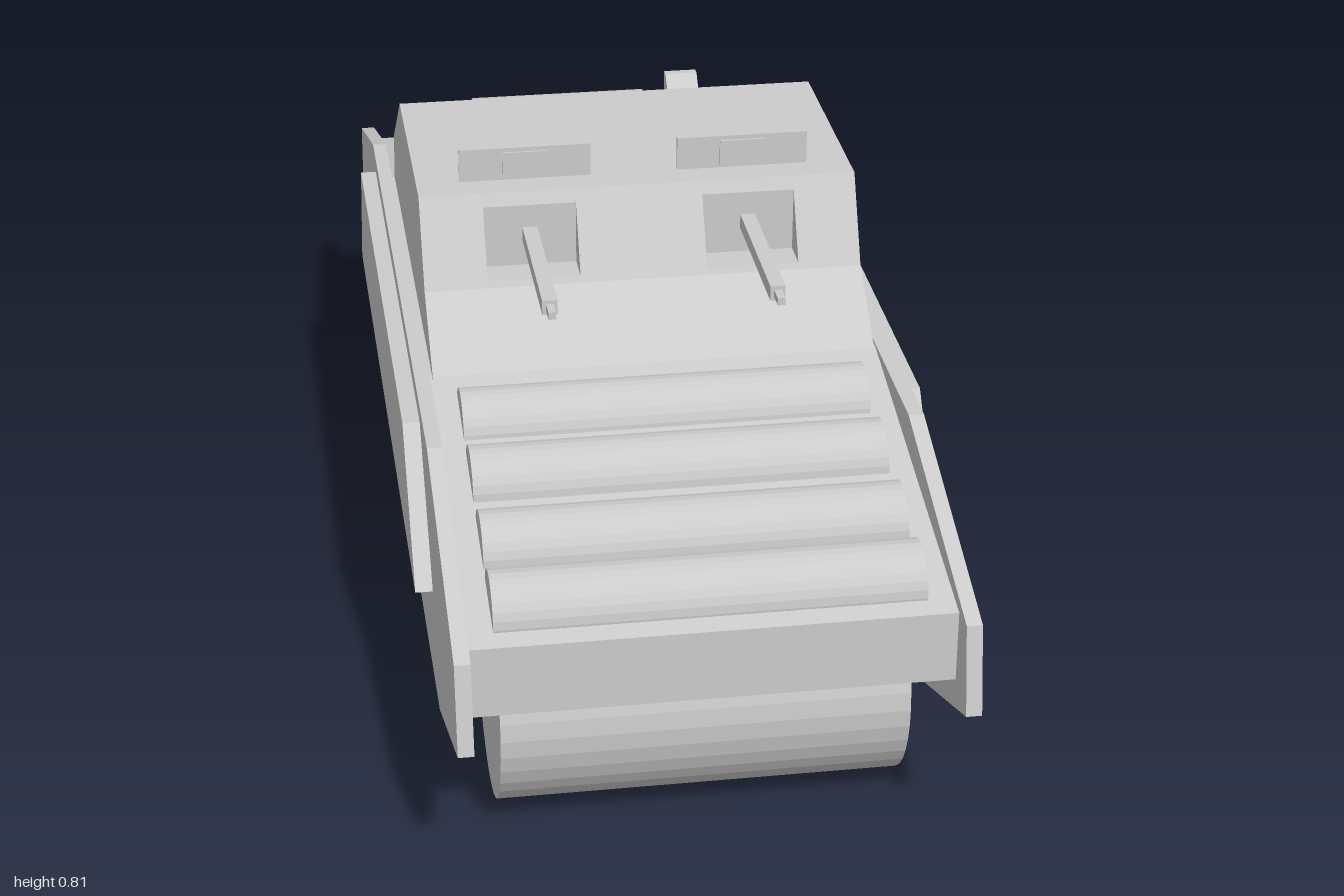
import * as THREE from 'three';
import { mergeGeometries } from 'three/addons/utils/BufferGeometryUtils.js';

const grey = new THREE.MeshStandardMaterial({ color: 0xcccccc, flatShading: true });

// Extrudes a [z, y] outline across the vehicle from x0 to x1
function slab(points, x0, x1) {
  const shape = new THREE.Shape(points.map(([z, y]) => new THREE.Vector2(z, y)));
  const geo = new THREE.ExtrudeGeometry(shape, { depth: x1 - x0, bevelEnabled: false });
  return geo.rotateY(-Math.PI / 2).translate(x1, 0, 0);
}

// Box given by its centre and size
const box = (x, y, z, w, h, d) => new THREE.BoxGeometry(w, h, d).translate(x, y, z);

// Cylinder lying across the vehicle
const crossCylinder = (r, length, x, y, z, sides) =>
  new THREE.CylinderGeometry(r, r, length, sides).rotateZ(Math.PI / 2).translate(x, y, z);

export function createModel() {
  const model = new THREE.Group();
  const add = (name, geo) => {
    const mesh = new THREE.Mesh(geo, grey);
    mesh.name = name;
    model.add(mesh);
    return mesh;
  };

  // Hull between the side plates
  add('hull', slab([
    [0.93, 0.28], [0.93, 0.395], [0.33, 0.525], [-0.45, 0.525],
    [-0.92, 0.40], [-0.92, 0.28], [-0.83, 0.22], [0.83, 0.22],
  ], -0.36, 0.36));

  // Casemate, cut in strips so that two strips carry a gun recess
  const rear = [[-0.24, 0.755], [-0.43, 0.615], [-0.455, 0.5], [0.36, 0.5], [0.34, 0.53], [0.22, 0.62]];
  const plain = [[0.15, 0.755], ...rear];
  const notched = [[0.15, 0.755], ...rear, [0.215, 0.63], [0.16, 0.63], [0.16, 0.735]];
  const cuts = [-0.355, -0.253, -0.103, 0.103, 0.253, 0.355];
  const strips = [];
  for (let i = 0; i < 5; i++) strips.push(slab(i % 2 ? notched : plain, cuts[i], cuts[i + 1]));
  add('casemate', mergeGeometries(strips));

  // Side plates, side armour, hatches, guns and rear wheels in mirrored pairs
  const plate = [
    [1.0, 0.26], [0.975, 0.40], [0.57, 0.53], [-0.59, 0.53],
    [-0.975, 0.40], [-1.0, 0.26], [-0.69, 0.125], [0.67, 0.125],
  ];
  const armour = [[0.43, 0.50], [-0.535, 0.50], [-0.615, 0.295], [0.60, 0.295]];
  const wheelProfile = [
    [0, -0.05], [0.14, -0.05], [0.16, -0.07], [0.185, -0.07],
    [0.185, 0.07], [0.16, 0.07], [0.14, 0.05], [0, 0.05],
  ].map(([r, h]) => new THREE.Vector2(r, h));

  for (const [side, s] of [['left', 1], ['right', -1]]) {
    const span = (pts, a, b) => slab(pts, Math.min(s * a, s * b), Math.max(s * a, s * b));
    add(side + 'SidePlate', span(plate, 0.36, 0.384));
    add(side + 'SideArmour', span(armour, 0.384, 0.411));

    // Half-round hatch, flat to the front, with a vision block
    const x = s * 0.178;
    const half = new THREE.Shape();
    half.absarc(0, 0, 0.107, 0, Math.PI, false);
    half.closePath();
    const hatch = new THREE.ExtrudeGeometry(half, { depth: 0.06, bevelEnabled: false, curveSegments: 20 });
    add(side + 'Hatch', hatch.rotateX(-Math.PI / 2).translate(x, 0.75, 0.1));
    add(side + 'VisionBlock', box(x, 0.782, 0.1, 0.074, 0.042, 0.008));

    add(side + 'Gun', box(x, 0.684, 0.29, 0.024, 0.024, 0.28));
    add(side + 'GunMuzzle', box(x, 0.684, 0.442, 0.012, 0.012, 0.036));

    const wheel = new THREE.LatheGeometry(wheelProfile, 36);
    add(side + 'RearWheel', wheel.rotateZ(Math.PI / 2).translate(s * 0.215, 0.185, -0.52));
  }

  // Wide front roller
  add('frontRoller', crossCylinder(0.19, 0.62, 0, 0.19, 0.68, 40));

  // Logs on the front deck and the shorter roll at the back
  [[0.425, 0.485], [0.565, 0.46], [0.71, 0.43], [0.84, 0.405]].forEach(([z, y], i) =>
    add('frontLog' + (i + 1), crossCylinder(0.06, 0.64, 0, y, z, 28)));
  add('rearRoll', crossCylinder(0.055, 0.335, 0, 0.41, -0.93, 28));

  // Rear lamp: base block, tapered collar and wedge-shaped hood
  add('lampBase', box(0.22, 0.43, -0.77, 0.12, 0.09, 0.12));
  const collar = new THREE.CylinderGeometry(0.05, 0.085, 0.025, 4).rotateY(Math.PI / 4);
  add('lampCollar', collar.translate(0.22, 0.4875, -0.77));
  add('lampHood', slab([[-0.735, 0.495], [-0.735, 0.505], [-0.79, 0.556], [-0.805, 0.556], [-0.805, 0.495]], 0.19, 0.25));

  // The whole vehicle stands slightly turned
  model.rotation.y = 0.028;
  return model;
}
